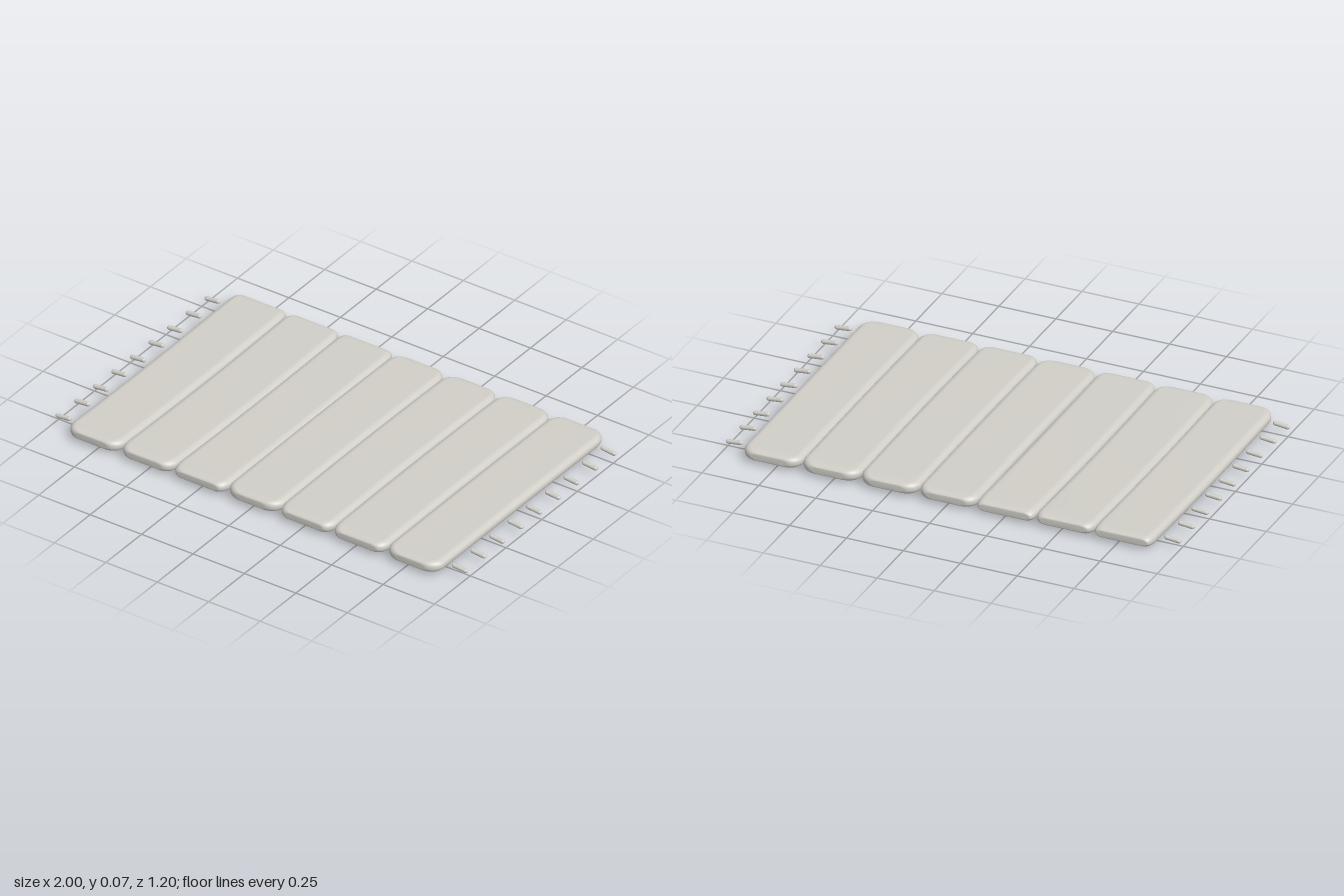
import * as THREE from 'three';

const cloth = new THREE.MeshStandardMaterial({ color: 0xd0cec7 });
cloth.name = 'pale grey cloth';

const DEPTH = 0.6, HALF_H = 0.024, MID_Y = 0.0345;

// Cross-section outline: rectangle with elliptical corners, counter-clockwise
function outline(w, h) {
  const rx = 0.03, ry = h * 0.85, steps = 5, pts = [];
  for (let q = 0; q < 4; q++) {
    const sx = q === 0 || q === 3 ? 1 : -1, sy = q < 2 ? 1 : -1;
    for (let i = 0; i <= steps; i++) {
      const a = (q + i / steps) * Math.PI / 2;
      pts.push([sx * (w - rx) + rx * Math.cos(a), sy * (h - ry) + ry * Math.sin(a)]);
    }
  }
  return pts;
}

// Padded strip lofted along z, with rounded ends and a slight sag or rise
function padGeometry(halfW, rBack, rFront, bend) {
  const rings = [];
  const addEnd = (sign, r) => {
    const list = [];
    for (let i = 0; i <= 8; i++) {
      const a = i / 8 * Math.PI / 2, e = 0.065 * (1 - Math.cos(a));
      const k = Math.max(0, 1 - e / 0.035);
      list.push([sign * (DEPTH - e), halfW - r * (1 - Math.sin(a)),
        HALF_H * (0.5 + 0.5 * Math.sqrt(1 - k * k))]);
    }
    return list;
  };
  rings.push(...addEnd(-1, rBack));
  for (let i = 1; i < 16; i++) rings.push([-0.535 + 1.07 * i / 16, halfW, HALF_H]);
  rings.push(...addEnd(1, rFront).reverse());

  const pos = [], idx = [];
  const rise = z => MID_Y + bend * Math.cos(z / DEPTH * Math.PI / 2);
  for (const [z, w, h] of rings)
    for (const [x, y] of outline(w, h)) pos.push(x, y + rise(z), z);
  const n = 24, last = (rings.length - 1) * n;
  for (let j = 0; j < rings.length - 1; j++)
    for (let k = 0; k < n; k++) {
      const a = j * n + k, b = j * n + (k + 1) % n;
      idx.push(a, b, b + n, a, b + n, a + n);
    }
  // End caps
  const c = rings.length * n;
  pos.push(0, MID_Y, -DEPTH, 0, MID_Y, DEPTH);
  for (let k = 0; k < n; k++) {
    const m = (k + 1) % n;
    idx.push(c, m, k, c + 1, last + k, last + m);
  }
  const g = new THREE.BufferGeometry();
  g.setAttribute('position', new THREE.Float32BufferAttribute(pos, 3));
  g.setIndex(idx);
  g.computeVertexNormals();
  return g;
}

export function createModel() {
  const model = new THREE.Group();
  model.name = 'paddedMat';

  // Seven strips: back corner radius, front corner radius, bend
  const strips = [
    [0.02, 0.055, -0.008], [0.03, 0.05, -0.0105], [0.02, 0.035, -0.006],
    [0.05, 0.065, 0.005], [0.06, 0.04, 0.007], [0.06, 0.04, 0.006], [0.055, 0.065, 0.002],
  ];
  const pitch = 1.806 / strips.length;
  strips.forEach(([rb, rf, bend], i) => {
    const strip = new THREE.Mesh(padGeometry(pitch / 2, rb, rf, bend), cloth);
    strip.name = 'paddedStrip' + (i + 1);
    strip.position.x = (i - 3) * pitch;
    model.add(strip);
  });

  // Short drooping tassels along both sides
  const tasselShape = new THREE.CapsuleGeometry(0.0095, 0.055, 4, 10);
  tasselShape.rotateZ(Math.PI / 2);
  for (const side of [1, -1])
    for (let i = -4; i <= 4; i++) {
      const tassel = new THREE.Mesh(tasselShape, cloth);
      tassel.name = side > 0 ? 'leftTassel' : 'rightTassel';
      tassel.position.set(side * 0.963, 0.034, i * 0.13);
      tassel.rotation.z = -side * 0.1;
      model.add(tassel);
    }
  return model;
}
